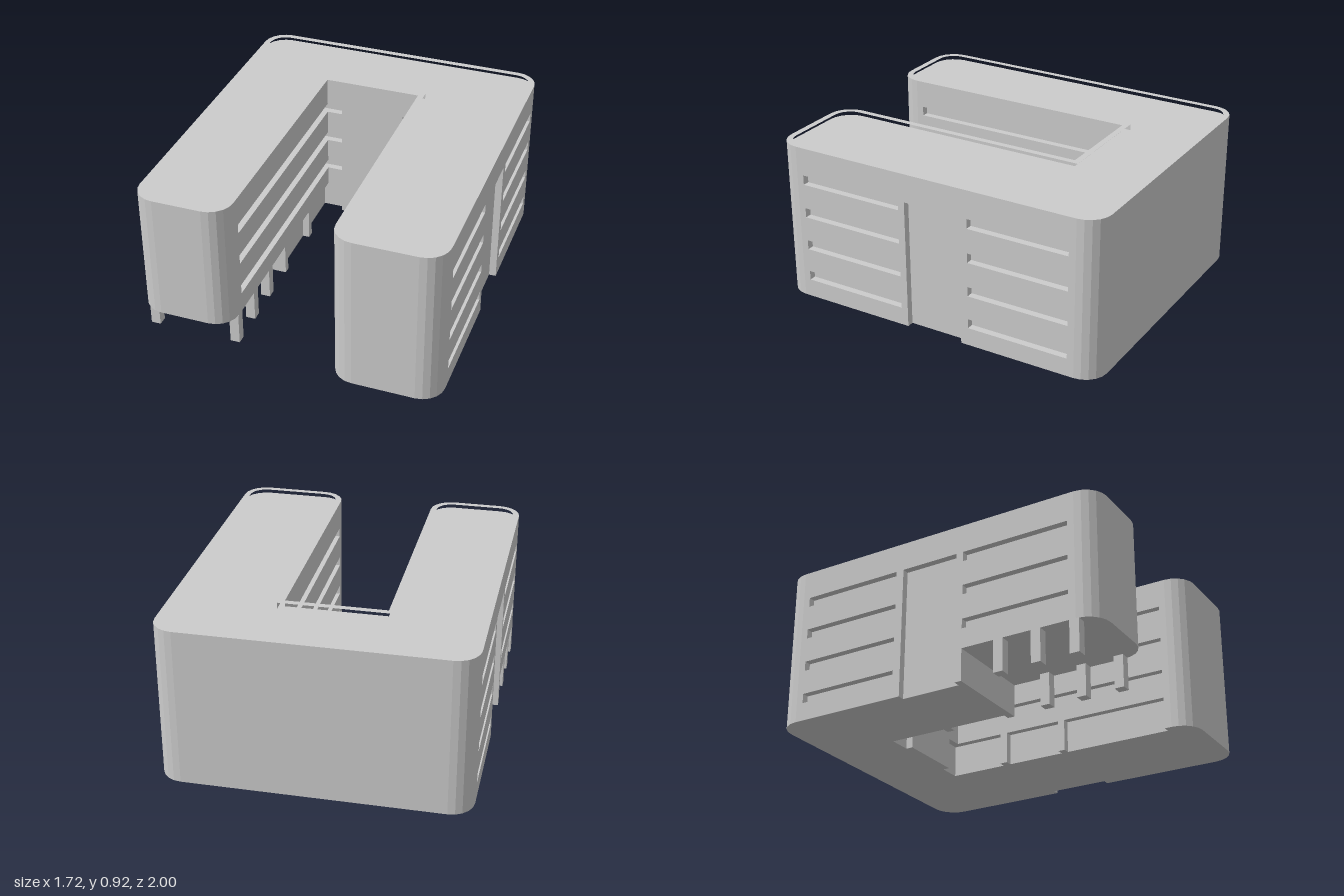
import * as THREE from 'three';

const material = new THREE.MeshStandardMaterial({ color: 0xcccccc, flatShading: true });

// Main dimensions of the U-shaped plan
const X = 0.86, INL = -0.32, INR = 0.245, COURT = -0.53, R = 0.13;
const D = 0.04;                    // depth of every recess
const WRAP = 0.09;                 // how far inner bands turn onto the courtyard wall
const FLOOR = 0.185, ROOF = 0.885, TOP = 0.92;
const DOOR = [0.16, -0.185], FRONT = [0.83, 0.2], BACK = [-0.23, -0.83];

// Plan outline in (x, z); options switch recesses on, inset shrinks the outline
function outline({ door, slots, band, ground, inset: i = 0 } = {}) {
  const p = [], r = R - i;
  const arc = (cx, cz, from) => {
    for (let k = 0; k <= 5; k++) {
      const a = from + (k / 5) * Math.PI / 2;
      p.push([cx + r * Math.cos(a), cz + r * Math.sin(a)]);
    }
  };
  const notch = (x, deep, a, b) => p.push([x, a], [deep, a], [deep, b], [x, b]);
  const Q = Math.PI / 2, xo = X - i, il = INL - i, ir = INR + i, zc = COURT - i;

  // back corners and right outer side
  arc(-X + R, -1 + R, 2 * Q);
  arc(X - R, -1 + R, 3 * Q);
  if (slots) notch(xo, xo - D, BACK[1], BACK[0]);
  if (door) notch(xo, xo - D, DOOR[1], DOOR[0]);
  if (slots) notch(xo, xo - D, FRONT[1], FRONT[0]);
  // right wing front end
  arc(X - R, 1 - R, 0);
  arc(INR + R, 1 - R, Q);
  // courtyard sides
  if (ground) {
    notch(ir, ir + D, ...FRONT);
    notch(ir, ir + D, ...DOOR);
  }
  if (band || ground) {
    const z = ground ? BACK[0] : FRONT[0], zd = zc - D;
    p.push([ir, z], [ir + D, z], [ir + D, zd], [ir - WRAP, zd], [ir - WRAP, zc]);
    p.push([il + WRAP, zc], [il + WRAP, zd], [il - D, zd], [il - D, z], [il, z]);
  } else p.push([ir, zc], [il, zc]);
  if (ground) notch(il, il - D, DOOR[1], DOOR[0]);
  // left wing front end; at ground level it stops at the stair core
  if (ground) p.push([il, FRONT[1]], [-xo, FRONT[1]]);
  else {
    arc(INL - R, 1 - R, 0);
    arc(-X + R, 1 - R, Q);
    if (slots) notch(-xo, -xo + D, ...FRONT);
  }
  // left outer side
  if (door) notch(-xo, -xo + D, ...DOOR);
  if (slots) notch(-xo, -xo + D, ...BACK);
  return p.map(([x, z]) => new THREE.Vector2(x, -z));
}

function slab(name, y0, y1, options, hole) {
  const shape = new THREE.Shape(outline(options));
  if (hole) shape.holes.push(new THREE.Path(outline(hole)));
  const geometry = new THREE.ExtrudeGeometry(shape, { depth: y1 - y0, bevelEnabled: false });
  geometry.rotateX(-Math.PI / 2).translate(0, y0, 0);
  const mesh = new THREE.Mesh(geometry, material);
  mesh.name = name;
  return mesh;
}

export function createModel() {
  const group = new THREE.Group();
  group.name = 'building';

  // Ground floor, with a window row on the outer walls
  const ground = { door: true, ground: true };
  group.add(slab('groundWallLower', 0, 0.105, ground));
  group.add(slab('groundWindows', 0.105, 0.16, { ...ground, slots: true }));
  group.add(slab('groundWallUpper', 0.16, FLOOR, ground));

  // Upper floors: plain wall, then a row of recessed windows
  let y = FLOOR;
  for (const sill of [0.3, 0.5, 0.7]) {
    group.add(slab('floorWall', y, sill, { door: true }));
    y = sill + 0.056;
    group.add(slab('floorWindows', sill, y, { door: true, slots: true, band: true }));
  }

  // Roof slab and parapet rim
  group.add(slab('roof', y, ROOF, {}));
  group.add(slab('parapet', ROOF, TOP, {}, { inset: 0.035 }));

  // Pillars under the raised left wing
  const pillar = new THREE.BoxGeometry(0.055, FLOOR, 0.055);
  for (const x of [-X + 0.0275, INL - 0.0275])
    for (const z of [0.86, 0.64, 0.42]) {
      const mesh = new THREE.Mesh(pillar, material);
      mesh.name = 'pillar';
      mesh.position.set(x, FLOOR / 2, z);
      group.add(mesh);
    }
  return group;
}
